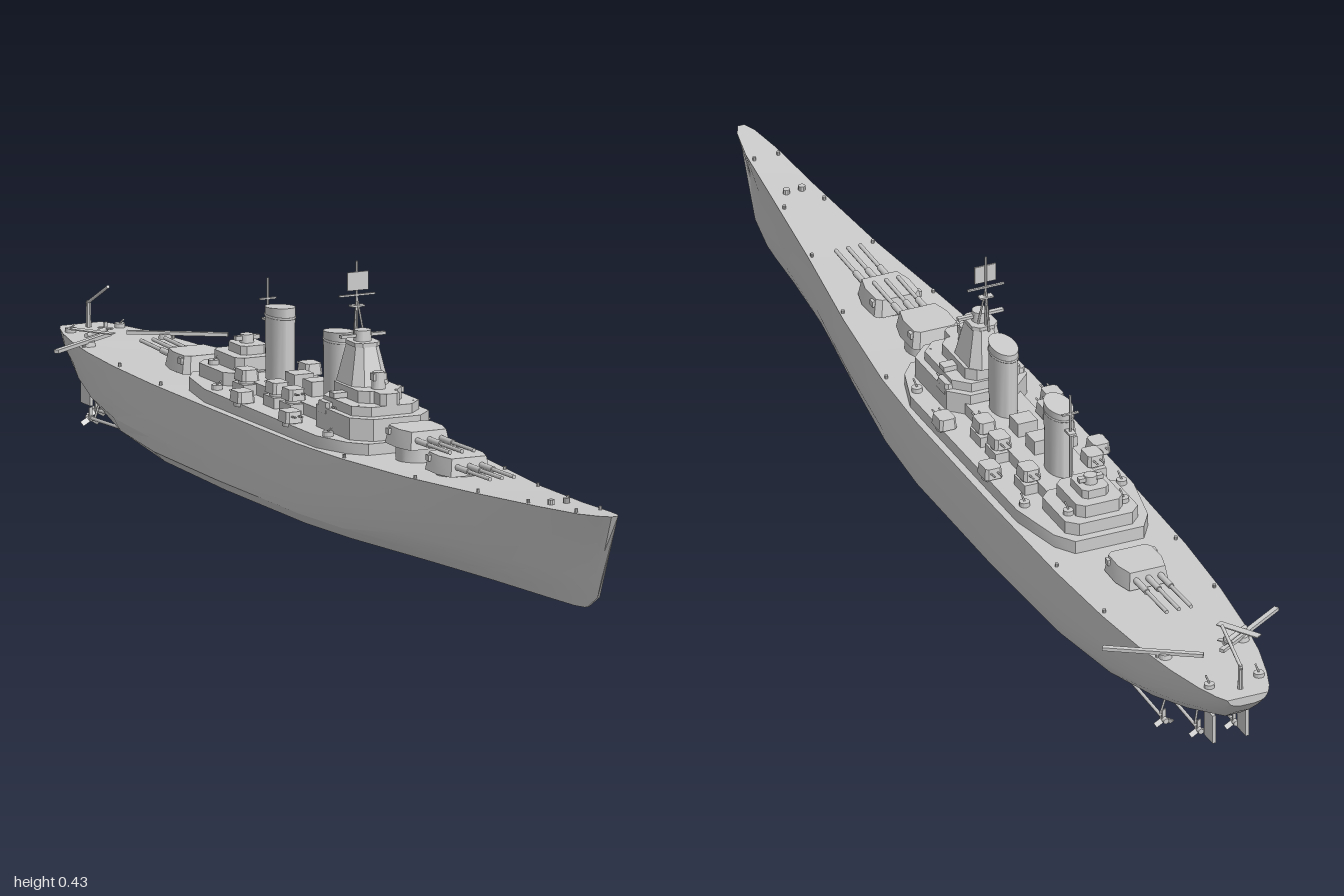
import * as THREE from 'three';
import { toCreasedNormals } from 'three/addons/utils/BufferGeometryUtils.js';

const grey = new THREE.MeshStandardMaterial({ color: 0xcccccc, side: THREE.DoubleSide });

function add(parent, name, geometry, x = 0, y = 0, z = 0) {
  const m = new THREE.Mesh(geometry, grey);
  m.name = name;
  m.position.set(x, y, z);
  parent.add(m);
  return m;
}
const box = (p, name, w, h, d, x, y, z) => add(p, name, new THREE.BoxGeometry(w, h, d), x, y, z);
const cyl = (p, name, rTop, rBase, h, x, y, z, n = 16) =>
  add(p, name, toCreasedNormals(new THREE.CylinderGeometry(rTop, rBase, h, n), 0.6), x, y + h / 2, z);

// Round bar between two points
function rod(p, name, a, b, r, n = 8) {
  const A = new THREE.Vector3(...a), B = new THREE.Vector3(...b);
  const m = add(p, name, new THREE.CylinderGeometry(r, r, A.distanceTo(B), n));
  m.position.copy(A).add(B).multiplyScalar(0.5);
  m.quaternion.setFromUnitVectors(new THREE.Vector3(0, 1, 0), B.sub(A).normalize());
  return m;
}

// Mirrored plan outline [halfWidth, z] raised from y0 to y1; the top is scaled by taper
function house(p, name, half, y0, y1, taper = 1) {
  const pts = [...half.map(([x, z]) => [x, z]), ...[...half].reverse().map(([x, z]) => [-x, z])];
  const shape = new THREE.Shape(pts.map(([x, z]) => new THREE.Vector2(x, -z)));
  const g = new THREE.ExtrudeGeometry(shape, { depth: y1 - y0, bevelEnabled: false });
  g.rotateX(-Math.PI / 2);
  const zs = half.map((q) => q[1]), mid = (Math.min(...zs) + Math.max(...zs)) / 2;
  const pos = g.attributes.position;
  for (let i = 0; i < pos.count; i++) {
    if (pos.getY(i) < (y1 - y0) / 2) continue;
    pos.setX(i, pos.getX(i) * taper);
    pos.setZ(i, mid + (pos.getZ(i) - mid) * taper);
  }
  return add(p, name, toCreasedNormals(g, 0.4), 0, y0, 0);
}
const octagon = (w, z0, z1, c) => [[w - c, z0], [w, z0 + c], [w, z1 - c], [w - c, z1]];

// Hull stations: z, deckY, keelY, half widths at deck, upper side, lower side, bilge, flat bottom
const STATIONS = [
  [-1, 0.137, 0.122, 0.037, 0.034, 0.03, 0.024, 0.012],
  [-0.98, 0.137, 0.1, 0.048, 0.044, 0.036, 0.026, 0.012],
  [-0.94, 0.137, 0.072, 0.062, 0.058, 0.048, 0.034, 0.014],
  [-0.87, 0.138, 0.047, 0.08, 0.078, 0.068, 0.05, 0.022],
  [-0.78, 0.138, 0.025, 0.095, 0.095, 0.088, 0.07, 0.04],
  [-0.66, 0.139, 0.01, 0.108, 0.109, 0.106, 0.093, 0.068],
  [-0.5, 0.14, 0.006, 0.117, 0.118, 0.117, 0.111, 0.09],
  [-0.25, 0.141, 0.006, 0.12, 0.121, 0.121, 0.119, 0.102],
  [0.05, 0.142, 0.006, 0.119, 0.121, 0.121, 0.118, 0.102],
  [0.2, 0.144, 0.006, 0.112, 0.113, 0.112, 0.106, 0.088],
  [0.4, 0.148, 0.006, 0.09, 0.088, 0.083, 0.074, 0.056],
  [0.6, 0.156, 0.006, 0.062, 0.054, 0.047, 0.039, 0.027],
  [0.8, 0.168, 0.007, 0.04, 0.028, 0.021, 0.016, 0.009],
  [0.92, 0.177, 0.009, 0.028, 0.014, 0.009, 0.007, 0.004],
  [0.98, 0.183, 0.012, 0.016, 0.006, 0.004, 0.003, 0.002],
  [1, 0.185, 0.014, 0.006, 0.002, 0.002, 0.002, 0.001],
];
const LEVELS = [1, 0.62, 0.32, 0.14, 0];
const RAKE = [0, 0.035, 0.047, 0.06, 0.1];

function hullGeometry() {
  const rings = STATIONS.map(([z, dy, ky, ...w]) => {
    const lean = Math.max(0, (z - 0.6) / 0.4) ** 2;
    const side = w.map((x, i) => [x, ky + (dy - ky) * LEVELS[i], z - RAKE[i] * lean]);
    return [...side, ...[...side].reverse().map(([x, y, zz]) => [-x, y, zz])];
  });
  const n = rings[0].length, v = [];
  for (let i = 0; i < rings.length - 1; i++)
    for (let j = 0; j < n; j++) {
      const k = (j + 1) % n;
      const a = rings[i][j], b = rings[i][k], c = rings[i + 1][k], d = rings[i + 1][j];
      v.push(...a, ...c, ...b, ...a, ...d, ...c);
    }
  const s = rings[0], e = rings[rings.length - 1];
  for (let k = 1; k < n - 1; k++) v.push(...s[0], ...s[k], ...s[k + 1], ...e[0], ...e[k + 1], ...e[k]);
  const g = new THREE.BufferGeometry();
  g.setAttribute('position', new THREE.Float32BufferAttribute(v, 3));
  return toCreasedNormals(g, 0.45);
}

// Triple main gun turret, facing +z before it is turned
function mainTurret(p, z, y, base, turn = 0) {
  const t = new THREE.Group();
  t.name = 'mainTurret';
  cyl(t, 'barbette', 0.038, 0.038, y - base, 0, base - y, 0, 24);
  house(t, 'gunhouse', [[0.034, -0.045], [0.044, -0.036], [0.045, 0.01], [0.036, 0.045]], 0, 0.03, 0.88);
  box(t, 'rangefinderHood', 0.09, 0.01, 0.012, 0, 0.021, -0.026);
  for (const x of [-0.022, 0, 0.022]) {
    rod(t, 'gunSleeve', [x, 0.015, 0.03], [x, 0.016, 0.085], 0.0055);
    rod(t, 'gunBarrel', [x, 0.016, 0.08], [x, 0.018, 0.163], 0.0035);
  }
  t.position.set(0, y, z);
  t.rotation.y = turn;
  p.add(t);
}

// Small twin turret
function smallTurret(p, x, y, z, dir) {
  const t = new THREE.Group();
  t.name = 'secondaryTurret';
  cyl(t, 'mount', 0.014, 0.014, 0.008, 0, -0.007, 0);
  house(t, 'gunhouse', octagon(0.016, -0.02, 0.02, 0.005), 0, 0.019, 0.88);
  for (const gx of [-0.006, 0.006]) rod(t, 'barrel', [gx, 0.011, 0.015], [gx, 0.013, 0.034], 0.0016, 6);
  t.position.set(x, y, z);
  if (dir < 0) t.rotation.y = Math.PI;
  p.add(t);
}

// Oval funnel with a rim and slanted top
function funnel(p, z) {
  const g = new THREE.CylinderGeometry(1, 0.95, 0.145, 24);
  g.scale(0.022, 1, 0.036);
  const pos = g.attributes.position;
  for (let i = 0; i < pos.count; i++) if (pos.getY(i) > 0) pos.setY(i, pos.getY(i) + pos.getZ(i) * 0.08);
  add(p, 'funnel', toCreasedNormals(g, 0.6), 0, 0.2325, z);
  const rim = new THREE.TorusGeometry(1, 0.05, 6, 24);
  rim.rotateX(Math.PI / 2);
  rim.scale(0.022, 0.04, 0.036);
  add(p, 'funnelBand', rim, 0, 0.29, z);
}

export function createModel() {
  const ship = new THREE.Group();
  ship.name = 'battleship';
  add(ship, 'hull', hullGeometry());

  // Main battery
  mainTurret(ship, 0.415, 0.153, 0.14);
  mainTurret(ship, 0.265, 0.17, 0.14);
  mainTurret(ship, -0.565, 0.143, 0.135, Math.PI);

  // Long deckhouse and the houses on it
  house(ship, 'mainDeckhouse', [[0.062, -0.455], [0.085, -0.42], [0.106, -0.32], [0.107, 0.1], [0.085, 0.17], [0.06, 0.2]], 0.135, 0.163);
  house(ship, 'midDeckhouse', octagon(0.05, -0.34, 0.03, 0.012), 0.163, 0.183);
  house(ship, 'bridgeBase', octagon(0.073, 0.0, 0.185, 0.03), 0.163, 0.2);
  house(ship, 'bridgeDeck', octagon(0.062, 0.01, 0.165, 0.025), 0.2, 0.216);
  house(ship, 'bridge', octagon(0.04, 0.015, 0.135, 0.015), 0.216, 0.236);
  box(ship, 'bridgeWings', 0.128, 0.009, 0.02, 0, 0.222, 0.07);
  house(ship, 'conningTower', octagon(0.018, 0.125, 0.165, 0.008), 0.216, 0.236);
  cyl(ship, 'forwardDirector', 0.01, 0.012, 0.028, 0, 0.236, 0.115);
  box(ship, 'directorArms', 0.024, 0.012, 0.014, 0, 0.256, 0.115);
  house(ship, 'tower', octagon(0.034, 0.01, 0.1, 0.016), 0.236, 0.3, 0.62);
  house(ship, 'towerCap', octagon(0.023, 0.028, 0.084, 0.01), 0.299, 0.306);
  cyl(ship, 'topDirector', 0.014, 0.015, 0.018, 0, 0.306, 0.056);
  box(ship, 'topRangefinder', 0.082, 0.005, 0.008, 0, 0.315, 0.056);

  // Foremast with yards and radar
  for (const [x, z] of [[-0.01, 0.045], [0.01, 0.045], [0, 0.022]])
    rod(ship, 'foremastLeg', [x, 0.3, z], [0, 0.375, 0.034], 0.0018, 6);
  rod(ship, 'foremast', [0, 0.3, 0.034], [0, 0.435, 0.034], 0.0018, 6);
  box(ship, 'upperYard', 0.066, 0.003, 0.004, 0, 0.378, 0.034);
  box(ship, 'lowerYard', 0.024, 0.003, 0.012, 0, 0.36, 0.034);
  box(ship, 'radarPanel', 0.038, 0.031, 0.003, 0, 0.402, 0.037);

  // Funnels and mainmast
  funnel(ship, -0.035);
  funnel(ship, -0.253);
  rod(ship, 'mainmast', [0, 0.18, -0.299], [0, 0.345, -0.299], 0.002, 6);
  box(ship, 'mainmastYard', 0.03, 0.003, 0.004, 0, 0.31, -0.299);
  box(ship, 'mainmastPlatform', 0.012, 0.004, 0.02, 0, 0.275, -0.3);

  // Aft superstructure
  house(ship, 'aftHouse', octagon(0.066, -0.44, -0.315, 0.018), 0.163, 0.185);
  house(ship, 'aftUpperHouse', octagon(0.042, -0.425, -0.325, 0.012), 0.185, 0.207);
  house(ship, 'aftControl', octagon(0.024, -0.405, -0.345, 0.008), 0.207, 0.222);
  cyl(ship, 'aftDirector', 0.011, 0.012, 0.014, 0, 0.222, -0.378);
  box(ship, 'aftRangefinder', 0.044, 0.007, 0.01, 0, 0.23, -0.378);

  // Houses between the funnels
  for (const z of [-0.115, -0.18]) box(ship, 'midHouse', 0.036, 0.026, 0.035, 0, 0.195, z);

  for (const s of [-1, 1]) {
    // Secondary battery and boats
    smallTurret(ship, s * 0.098, 0.165, -0.015, 1);
    smallTurret(ship, s * 0.098, 0.165, -0.195, -1);
    smallTurret(ship, s * 0.058, 0.19, 0.052, 1);
    smallTurret(ship, s * 0.058, 0.186, -0.085, 1);
    smallTurret(ship, s * 0.058, 0.186, -0.145, -1);
    smallTurret(ship, s * 0.058, 0.186, -0.26, -1);
    for (const z of [-0.085, -0.145, -0.26]) box(ship, 'gunPlatform', 0.032, 0.018, 0.042, s * 0.058, 0.172, z);

    // Light gun tubs
    for (const [x, y, z] of [[0.09, 0.163, 0.11], [0.088, 0.163, -0.31], [0.05, 0.2, 0.13], [0.05, 0.185, -0.4], [0.045, 0.136, -0.945]]) {
      cyl(ship, 'gunTub', 0.009, 0.009, 0.008, s * x, y, z, 12);
      rod(ship, 'lightGun', [s * x, y + 0.008, z], [s * x, y + 0.016, z + 0.014], 0.0016, 6);
    }

    // Deck bollards along the edge
    for (const [x, y, z] of [[0.022, 0.174, 0.9], [0.036, 0.163, 0.75], [0.055, 0.154, 0.6], [0.082, 0.146, 0.42], [0.104, 0.142, 0.2], [0.108, 0.138, -0.48], [0.1, 0.137, -0.65], [0.082, 0.136, -0.82]])
      cyl(ship, 'bollard', 0.003, 0.003, 0.008, s * x, y, z, 8);

    // Catapult
    const cat = box(ship, 'catapult', 0.168, 0.006, 0.009, s * 0.087, 0.147, -0.815);
    cat.rotation.y = -s * 0.57;
    cyl(ship, 'catapultBase', 0.01, 0.012, 0.012, s * 0.07, 0.134, -0.826);

    // Shafts, screws and rudder
    for (const [x, zs, zp] of [[0.07, -0.66, -0.82], [0.032, -0.74, -0.875]]) {
      rod(ship, 'propellerShaft', [s * x, 0.024, zs], [s * x, 0.018, zp], 0.003);
      rod(ship, 'shaftStrut', [s * x, 0.018, zp + 0.015], [s * x * 0.8, 0.06, zp + 0.015], 0.002, 6);
      rod(ship, 'propellerHub', [s * x, 0.018, zp + 0.006], [s * x, 0.018, zp - 0.01], 0.005);
      for (let k = 0; k < 3; k++) {
        const g = new THREE.BoxGeometry(0.009, 0.017, 0.002);
        g.rotateY(0.5);
        g.translate(0, 0.0095, 0);
        add(ship, 'propellerBlade', g, s * x, 0.018, zp).rotation.z = (k * Math.PI * 2) / 3;
      }
    }
    box(ship, 'rudder', 0.006, 0.052, 0.034, s * 0.03, 0.046, -0.915);
  }

  // Floatplane on one catapult
  const plane = new THREE.Group();
  plane.name = 'floatplane';
  rod(plane, 'fuselage', [-0.03, 0, 0], [0.035, 0, 0], 0.004);
  box(plane, 'wing', 0.014, 0.002, 0.08, -0.01, 0.004, 0);
  box(plane, 'tailplane', 0.008, 0.002, 0.026, 0.032, 0.002, 0);
  box(plane, 'fin', 0.009, 0.013, 0.002, 0.032, 0.006, 0);
  plane.position.set(-0.053, 0.157, -0.836);
  plane.rotation.y = 0.57;
  ship.add(plane);

  // Stern crane
  cyl(ship, 'cranePost', 0.004, 0.005, 0.046, 0, 0.135, -0.97, 8);
  rod(ship, 'craneJib', [0, 0.176, -0.975], [0, 0.218, -0.897], 0.003, 6);

  // Anchor capstans
  for (const s of [-1, 1]) cyl(ship, 'capstan', 0.006, 0.006, 0.008, s * 0.014, 0.168, 0.79, 10);
  return ship;
}
